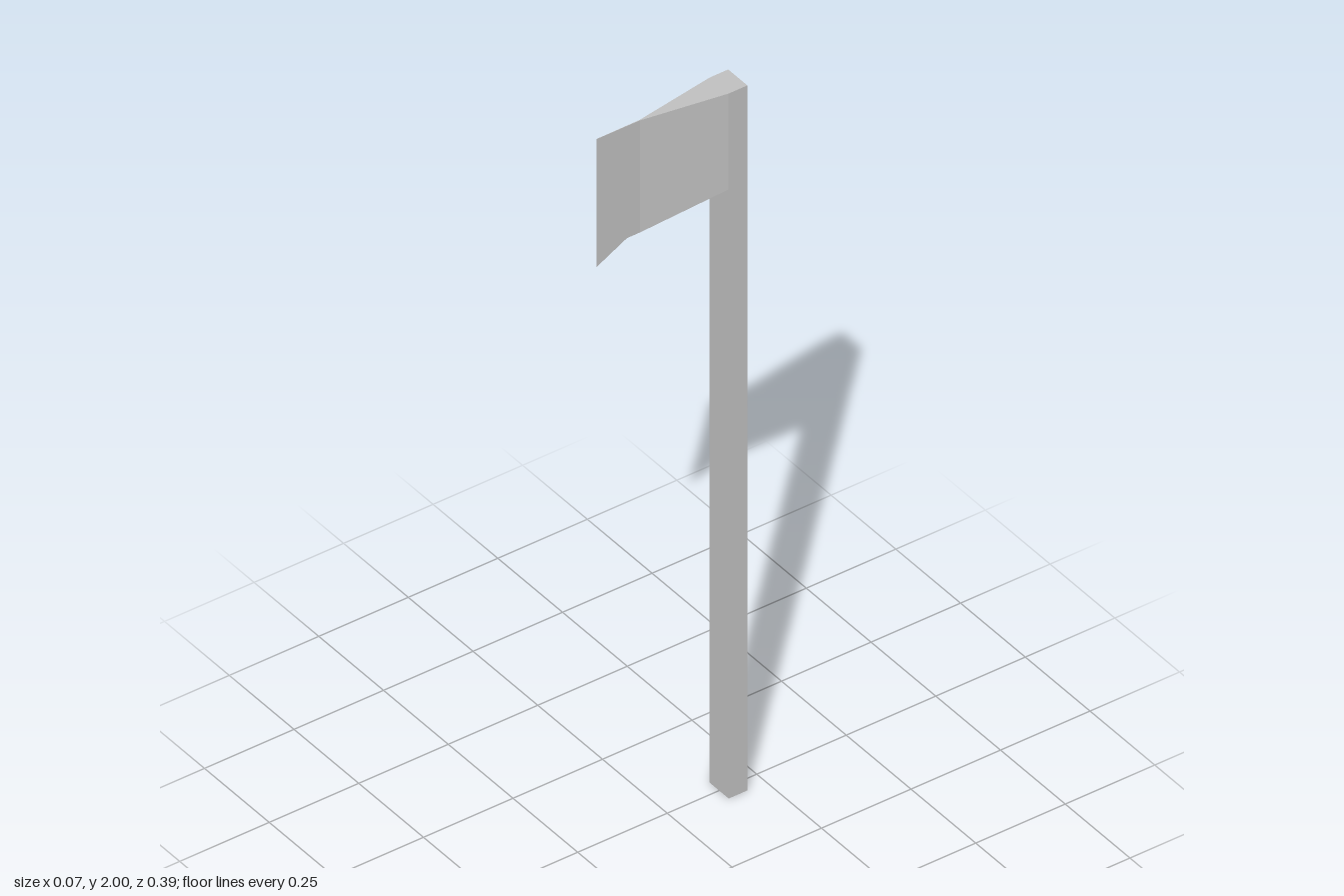
import * as THREE from 'three';

const HALF_WIDTH = 0.037;
const TOP = 2;
const BACK = -0.197;
const JOINT = -0.145;

// Head cross-sections from handle to cutting edge: z, bottom y, half width
const SECTIONS = [
  [JOINT, 1.728, HALF_WIDTH],
  [0.077, 1.682, 0.001],
  [0.113, 1.682, 0.0008],
  [0.197, 1.637, 0.0002],
];

// Wedge tapering into a thin blade, made by reshaping a segmented box
function headGeometry() {
  const steps = SECTIONS.length - 1;
  const geometry = new THREE.BoxGeometry(2, 1, steps, 1, 1, steps);
  const p = geometry.attributes.position;
  for (let i = 0; i < p.count; i++) {
    const [z, bottom, half] = SECTIONS[Math.round(p.getZ(i) + steps / 2)];
    p.setXYZ(i, p.getX(i) * half, p.getY(i) > 0 ? TOP : bottom, z);
  }
  const flat = geometry.toNonIndexed();
  flat.computeVertexNormals();
  return flat;
}

export function createModel() {
  const group = new THREE.Group();
  group.name = 'axe';
  const grey = new THREE.MeshStandardMaterial({ color: 0xc0c0c0, flatShading: true });
  grey.name = 'grey';

  // Straight square-edged handle
  const handle = new THREE.Mesh(new THREE.BoxGeometry(HALF_WIDTH * 2, TOP, JOINT - BACK), grey);
  handle.name = 'handle';
  handle.position.set(0, TOP / 2, (JOINT + BACK) / 2);

  // Axe head
  const head = new THREE.Mesh(headGeometry(), grey);
  head.name = 'head';

  group.add(handle, head);
  return group;
}
